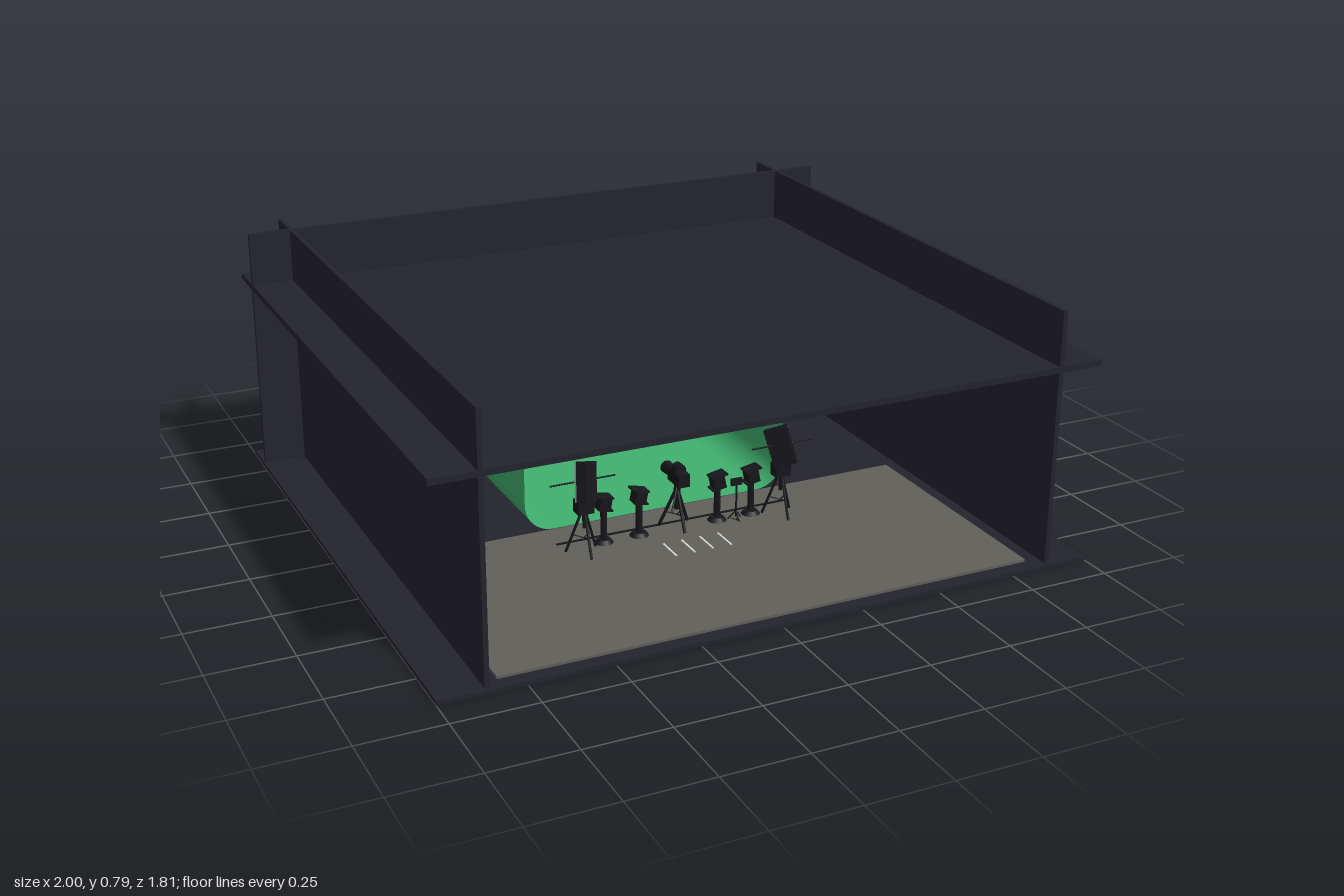
import * as THREE from 'three';

const mat = (name, color, extra = {}) => {
  const m = new THREE.MeshStandardMaterial({ color, ...extra });
  m.name = name;
  return m;
};

export function createModel() {
  const shell = mat('charcoal shell', 0x23232d);
  const carpetGrey = mat('carpet grey', 0x625f5a);
  const green = mat('screen green', 0x40b06e, { side: THREE.DoubleSide });
  const black = mat('equipment black', 0x17171c);
  const metal = mat('truss metal', 0x85828c);
  const white = mat('marker white', 0xd8d8d4);

  const root = new THREE.Group();
  root.name = 'studio';

  const add = (parent, name, geo, m, x = 0, y = 0, z = 0) => {
    const mesh = new THREE.Mesh(geo, m);
    mesh.name = name;
    mesh.position.set(x, y, z);
    parent.add(mesh);
    return mesh;
  };
  const box = (parent, name, m, w, h, d, x, y, z) =>
    add(parent, name, new THREE.BoxGeometry(w, h, d), m, x, y, z);
  // Round bar between two points
  const rod = (parent, name, m, a, b, r = 0.003) => {
    const p = new THREE.Vector3(...a), q = new THREE.Vector3(...b);
    const mesh = add(parent, name, new THREE.CylinderGeometry(r, r, p.distanceTo(q), 6), m);
    mesh.position.copy(p).add(q).multiplyScalar(0.5);
    mesh.quaternion.setFromUnitVectors(new THREE.Vector3(0, 1, 0), q.sub(p).normalize());
    return mesh;
  };
  const group = (name, x, y, z, parent = root) => {
    const g = new THREE.Group();
    g.name = name;
    g.position.set(x, y, z);
    parent.add(g);
    return g;
  };

  // Room: crossing slabs that run past each other
  box(root, 'floorSlab', shell, 2, 0.012, 1.81, 0, 0.006, 0);
  box(root, 'ceilingSlab', shell, 2, 0.018, 1.81, 0, 0.616, 0);
  box(root, 'backWall', shell, 2, 0.77, 0.014, 0, 0.405, -0.777);
  for (const s of [-1, 1])
    box(root, s > 0 ? 'leftWall' : 'rightWall', shell, 0.014, 0.77, 1.81, s * 0.863, 0.405, 0);
  box(root, 'carpet', carpetGrey, 1.64, 0.008, 0.77, 0, 0.016, 0.475);

  // Green cove: U-shaped plan swept up a curved profile
  const W = 0.435, FRONT = 0.09, BACK = -0.55, R = 0.11, COVE = 0.09, Y0 = 0.021, TOP = 0.512;
  const plan = (inset) => {
    const pts = [[-W + inset, FRONT]], r = R - inset;
    for (const side of [-1, 1])
      for (let i = 0; i <= 12; i++) {
        const a = (side < 0 ? Math.PI : Math.PI * 1.5) + (i / 12) * Math.PI / 2;
        pts.push([side * (W - R) + r * Math.cos(a), BACK + R + r * Math.sin(a)]);
      }
    pts.push([W - inset, FRONT]);
    return pts;
  };
  const rows = [plan(COVE).map(([, z]) => [0, Y0, z])];
  for (let i = 0; i <= 10; i++) {
    const a = (i / 10) * Math.PI / 2;
    rows.push(plan(COVE * (1 - Math.sin(a))).map(([x, z]) => [x, Y0 + COVE * (1 - Math.cos(a)), z]));
  }
  rows.push(plan(0).map(([x, z]) => [x, TOP, z]));
  const n = rows[0].length, index = [];
  for (let r = 0; r < rows.length - 1; r++)
    for (let i = 0; i < n - 1; i++) {
      const a = r * n + i, b = a + n;
      index.push(a, a + 1, b, b, a + 1, b + 1);
    }
  const cove = new THREE.BufferGeometry();
  cove.setAttribute('position', new THREE.Float32BufferAttribute(rows.flat(2), 3));
  cove.setIndex(index);
  cove.computeVertexNormals();
  add(root, 'greenScreen', cove, green);

  // Tracking crosses on the screen
  for (const y of [0.22, 0.33, 0.43])
    for (const x of [-0.255, -0.13, 0, 0.13, 0.255]) {
      box(root, 'trackingMark', white, 0.01, 0.003, 0.002, x, y, BACK + 0.002);
      box(root, 'trackingMark', white, 0.003, 0.01, 0.002, x, y, BACK + 0.002);
    }

  // Tape marks on the carpet
  for (const x of [-0.09, -0.03, 0.03, 0.09])
    box(root, 'floorTape', white, 0.006, 0.002, 0.09, x, 0.021, 0.37);
  box(root, 'floorCable', black, 0.76, 0.004, 0.006, 0, 0.022, 0.2);

  // Lighting truss on ceiling rods
  const TZ = 0.12;
  for (const x of [-0.32, 0, 0.32]) rod(root, 'hangingRod', black, [x, 0.52, TZ], [x, 0.61, TZ], 0.0025);
  for (const y of [0.505, 0.523])
    for (const z of [TZ - 0.012, TZ + 0.012])
      rod(root, 'trussRail', black, [-0.335, y, z], [0.335, y, z], 0.003);
  for (let i = 0; i < 30; i++) {
    const x = -0.33 + i * 0.022, up = i % 2;
    for (const z of [TZ - 0.012, TZ + 0.012])
      rod(root, 'trussBrace', metal, [x, up ? 0.523 : 0.505, z], [x + 0.022, up ? 0.505 : 0.523, z], 0.002);
  }

  // Hung lamps: yoke, clamp and a wide head with barn doors
  [-0.215, -0.103, 0, 0.103, 0.215].forEach((x) => {
    const g = group('hungLamp', x, 0, TZ);
    rod(g, 'lampDrop', black, [0, 0.44, 0], [0, 0.505, 0], 0.005);
    box(g, 'lampClamp', black, 0.054, 0.012, 0.02, Math.sign(x) * 0.008, 0.464, 0);
    box(g, 'lampBallast', black, 0.03, 0.025, 0.02, 0, 0.485, 0);
    for (const s of [-1, 1]) box(g, 'lampYoke', black, 0.004, 0.04, 0.012, s * 0.026, 0.43, 0);
    box(g, 'lampYokeBar', black, 0.056, 0.004, 0.012, 0, 0.45, 0);
    box(g, 'lampHead', black, 0.05, 0.034, 0.045, 0, 0.415, 0).rotation.x = -0.4;
    box(g, 'barnDoor', black, 0.064, 0.004, 0.03, 0, 0.395, -0.03).rotation.x = -0.4;
  });
  for (const s of [-1, 1]) {
    const g = group('sideLamp', s * 0.315, 0.46, TZ);
    rod(g, 'lampDrop', black, [0, 0, 0], [0, 0.05, 0], 0.005);
    const head = box(g, 'lampHead', black, 0.055, 0.05, 0.05, 0, -0.005, 0);
    head.rotation.z = s * 0.75;
  }

  const tripod = (g, top, spread, r = 0.004) => {
    for (let i = 0; i < 3; i++) {
      const a = Math.PI / 2 + (i * Math.PI * 2) / 3;
      const foot = [Math.cos(a) * spread, 0.021, Math.sin(a) * spread];
      rod(g, 'tripodLeg', black, [0, top, 0], foot, r);
      rod(g, 'tripodSpreader', black, [0, top * 0.4, 0], foot.map((v, k) => (k === 1 ? top * 0.45 : v * 0.6)), 0.002);
    }
  };

  // Large gridded panel lights either side
  for (const s of [-1, 1]) {
    const g = group('panelLight', s * 0.325, 0, 0.28);
    tripod(g, 0.17, 0.055);
    rod(g, 'standColumn', black, [0, 0.1, 0], [0, 0.25, 0], 0.005);
    box(g, 'standHead', black, 0.05, 0.04, 0.04, 0, 0.17, 0);
    rod(g, 'boomArm', black, [-s * 0.1, 0.25, 0], [s * 0.105, 0.25, 0], 0.0025);
    const head = group('panelHead', 0, 0.245, 0, g);
    head.rotation.set(-0.25, -s * 0.7, s * 0.2);
    box(head, 'panelBody', black, 0.07, 0.12, 0.03, 0, 0, 0.01);
    for (let i = 0; i < 5; i++) {
      box(head, 'panelGridBar', metal, 0.07, 0.002, 0.006, 0, -0.05 + i * 0.025, -0.008);
      box(head, 'panelGridBar', metal, 0.002, 0.12, 0.006, -0.032 + i * 0.016, 0, -0.008);
    }
  }

  // Low floor lamps
  for (const x of [-0.245, -0.13, 0.13, 0.245]) {
    const s = Math.sign(x), g = group('floorLamp', x, 0, 0.24);
    add(g, 'lampBase', new THREE.CylinderGeometry(0.02, 0.03, 0.012, 12), black, 0, 0.027, 0);
    rod(g, 'lampColumn', black, [0, 0.03, 0], [0, 0.14, 0], 0.01);
    box(g, 'lampHead', black, 0.036, 0.034, 0.04, 0, 0.15, 0).rotation.z = s * 0.2;
    box(g, 'lampVisor', black, 0.052, 0.005, 0.045, 0, 0.17, 0).rotation.z = s * 0.2;
    box(g, 'lampLowerVisor', black, 0.046, 0.005, 0.04, 0, 0.13, 0).rotation.z = s * 0.2;
  }

  // Camera on its tripod
  const cam = group('camera', 0, 0, 0.23);
  tripod(cam, 0.15, 0.055, 0.005);
  rod(cam, 'centreColumn', black, [0, 0.08, 0], [0, 0.17, 0], 0.01);
  rod(cam, 'panHandle', black, [0, 0.155, 0], [-0.045, 0.1, 0.06], 0.003);
  box(cam, 'cameraBody', black, 0.036, 0.04, 0.08, 0, 0.187, 0.01);
  add(cam, 'lens', new THREE.CylinderGeometry(0.02, 0.016, 0.05, 16), black, 0, 0.187, -0.05).rotation.x = -Math.PI / 2;
  const reel = add(cam, 'viewfinder', new THREE.CylinderGeometry(0.018, 0.018, 0.03, 16), black, 0, 0.212, 0.01);
  reel.rotation.x = Math.PI / 2;

  // Small monitor on a thin stand
  const mon = group('monitor', 0.185, 0, 0.26);
  tripod(mon, 0.05, 0.025, 0.002);
  rod(mon, 'monitorPole', black, [0, 0.03, 0], [0, 0.14, 0], 0.003);
  box(mon, 'monitorScreen', black, 0.036, 0.022, 0.008, 0, 0.145, 0);

  return root;
}
